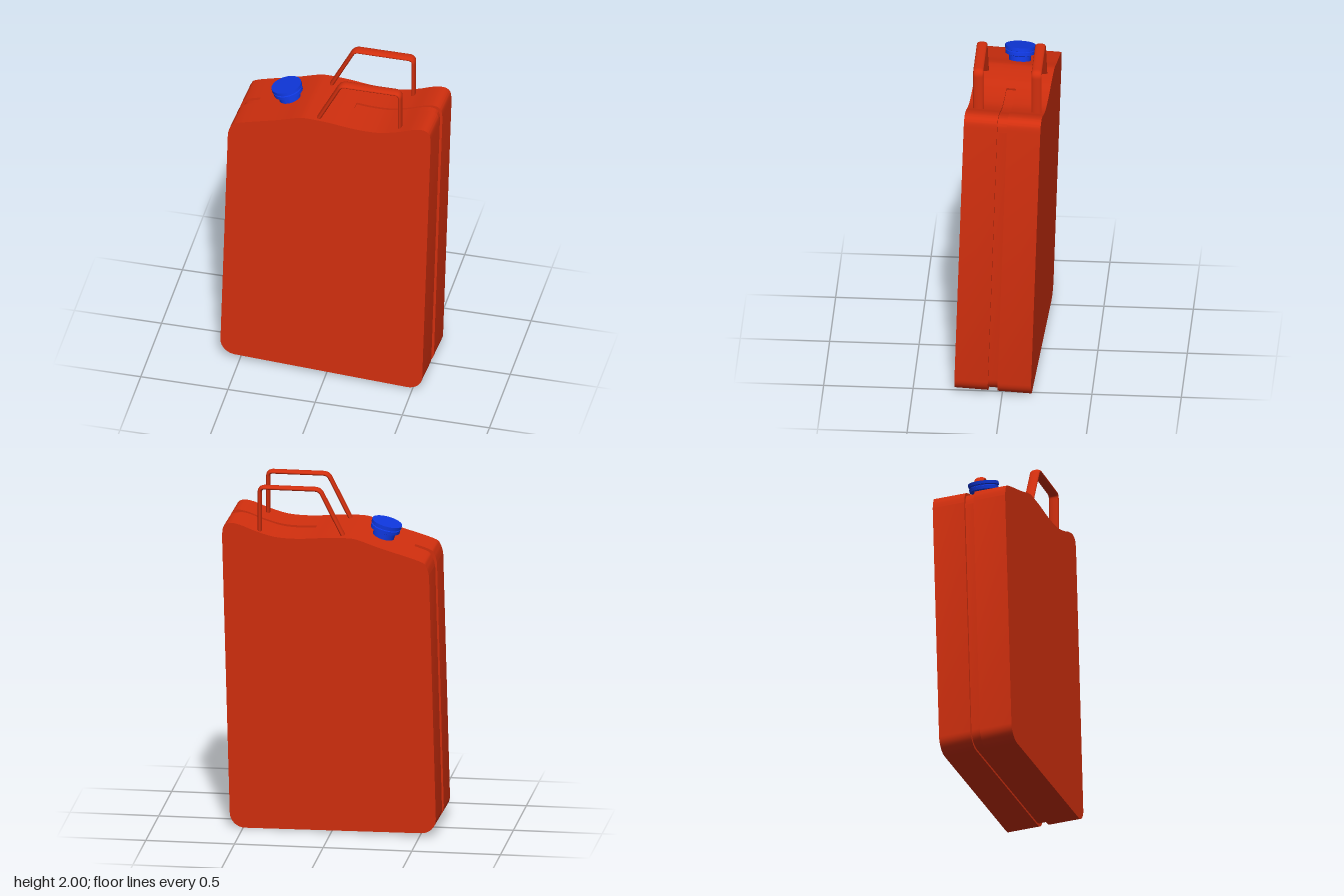
import * as THREE from 'three';
import { toCreasedNormals } from 'three/addons/utils/BufferGeometryUtils.js';

const red = new THREE.MeshStandardMaterial({ color: 0xd22f0e });
const blue = new THREE.MeshStandardMaterial({ color: 0x0f38e0 });

const HALF = 0.585, BASE = 0.018, R = 0.085, PIVOT = 0.9, DEPTH = 0.43, SEAM = 0.055;

// Wavy shoulder line, from the low left corner to the high right corner
const topCurve = new THREE.SplineCurve([
  [-HALF, 1.53], [-0.57, 1.58], [-0.53, 1.613], [-0.31, 1.682], [-0.19, 1.724], [-0.13, 1.734],
  [-0.01, 1.733], [0.09, 1.725], [0.19, 1.722], [0.29, 1.73], [0.39, 1.758], [0.48, 1.793],
  [0.54, 1.803], [0.575, 1.782], [HALF, 1.73],
].map(([x, y]) => new THREE.Vector2(x, y)));

// Closed outline of the can, rounded at the two bottom corners
function outline() {
  const pts = topCurve.getPoints(84);
  for (const [cx, start] of [[HALF - R, 0], [-HALF + R, -Math.PI / 2]]) {
    for (let i = 0; i <= 8; i++) {
      const a = start - (i / 8) * Math.PI / 2;
      pts.push(new THREE.Vector2(cx + R * Math.cos(a), BASE + R + R * Math.sin(a)));
    }
  }
  return pts;
}

// Outline of the seam: sunk all round, level with the top between the groove ends
function seamOutline() {
  const pts = [];
  let last = null;
  for (const p of outline()) {
    const level = p.y > 1.5 && p.x > -0.5 && p.x < 0.075;
    const sunk = new THREE.Vector2(p.x * 0.976, PIVOT + (p.y - PIVOT) * 0.985);
    if (last !== null && last !== level) pts.push(level ? sunk : p.clone());
    pts.push(level ? p.clone() : sunk);
    last = level;
  }
  return pts;
}

function slab(name, points, z, depth) {
  const geo = new THREE.ExtrudeGeometry(new THREE.Shape(points), { depth, bevelEnabled: false });
  geo.translate(0, -PIVOT, z);
  const mesh = new THREE.Mesh(toCreasedNormals(geo, 0.5), red);
  mesh.name = name;
  return mesh;
}

// Flattened bar bent round two rounded corners
function handle(name, z) {
  const corners = [[-0.07, 1.72], [0.065, 1.988], [0.403, 1.988], [0.403, 1.72]]
    .map(([x, y]) => new THREE.Vector3(x, y, 0));
  const path = new THREE.CurvePath();
  let from = corners[0];
  for (let i = 1; i < 3; i++) {
    const c = corners[i];
    const toward = (o) => c.clone().add(o.clone().sub(c).setLength(0.028));
    const a = toward(corners[i - 1]), b = toward(corners[i + 1]);
    path.add(new THREE.LineCurve3(from, a));
    path.add(new THREE.QuadraticBezierCurve3(a, c, b));
    from = b;
  }
  path.add(new THREE.LineCurve3(from, corners[3]));
  const mesh = new THREE.Mesh(new THREE.TubeGeometry(path, 120, 0.012, 16), red);
  mesh.scale.z = 2.4;
  mesh.position.z = z;
  mesh.name = name;
  return mesh;
}

export function createModel() {
  const can = new THREE.Group();
  can.name = 'fuelCan';

  // Body leans slightly; two half shells with a sunken seam between
  const body = new THREE.Group();
  body.name = 'body';
  const half = (DEPTH - SEAM) / 2;
  body.add(
    slab('frontShell', outline(), SEAM / 2, half),
    slab('backShell', outline(), -DEPTH / 2, half),
    slab('seam', seamOutline(), -SEAM / 2, SEAM),
  );
  body.position.y = PIVOT;
  body.rotation.set(-0.034, -0.04, -0.022);
  can.add(body);

  // Carrying handles
  can.add(handle('frontHandle', 0.142), handle('backHandle', -0.184));

  // Screw cap on its neck, square to the sloping shoulder
  const profile = [[0.062, -0.13], [0.062, -0.055], [0.083, -0.047], [0.083, -0.028], [0.077, -0.025],
    [0.077, -0.021], [0.086, -0.018], [0.086, 0], [0, 0]].map(([x, y]) => new THREE.Vector2(x, y));
  const cap = new THREE.Mesh(toCreasedNormals(new THREE.LatheGeometry(profile, 48), 0.5), blue);
  cap.name = 'cap';
  cap.position.set(-0.296, 1.777, -0.048);
  cap.rotation.set(-0.034, 0, 0.265);
  can.add(cap);

  return can;
}
